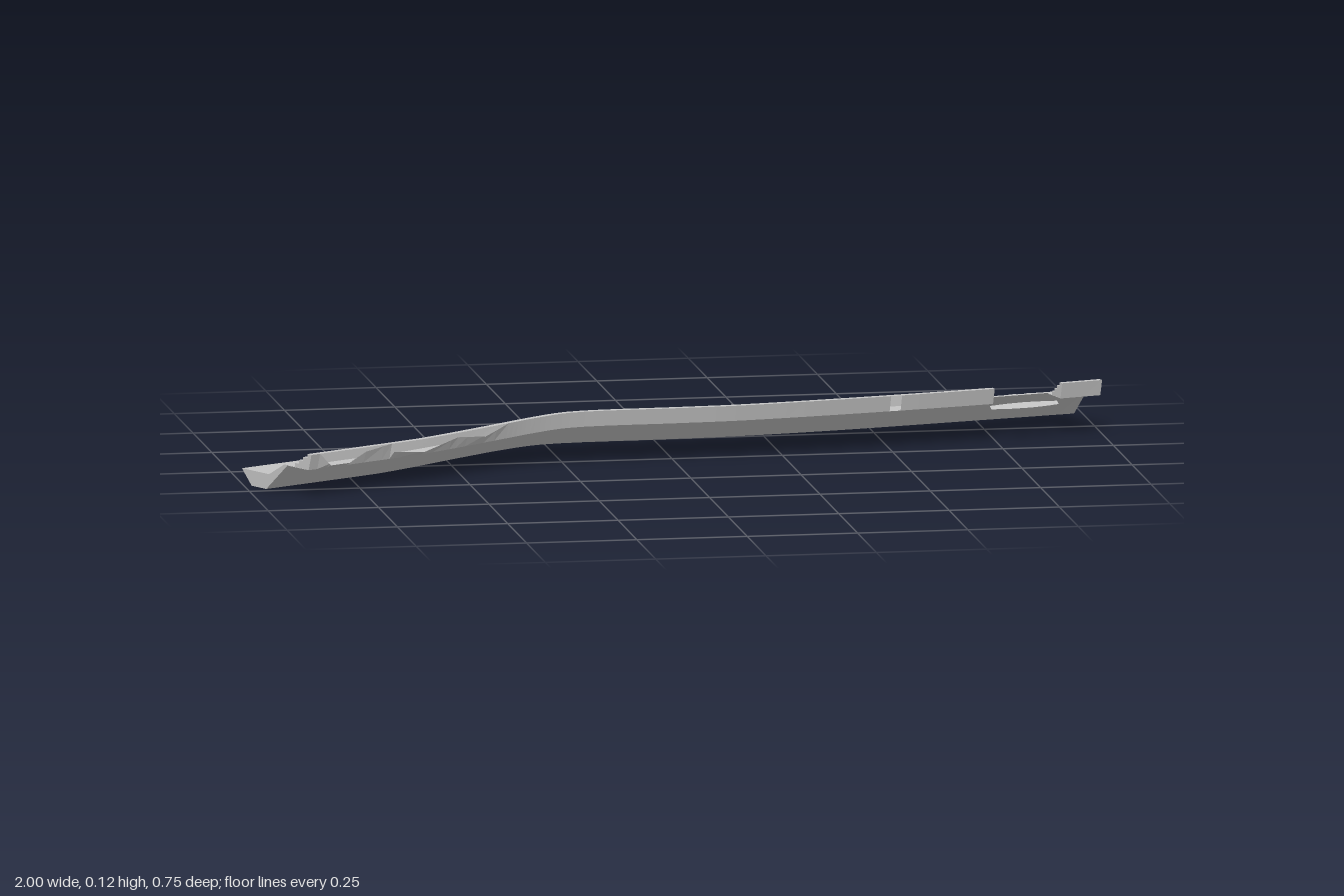
import * as THREE from 'three';

const concrete = new THREE.MeshStandardMaterial({ color: 0xc4c4c4, flatShading: true, side: THREE.DoubleSide });
concrete.name = 'pale concrete';

// Paired stations along the bend: back edge x, z; front edge x, z; ground lift
const stations = [
  [-1, 0.15, -0.88, 0.37, 0], [-0.72, 0, -0.61, 0.22, 0], [-0.5, -0.135, -0.385, 0.09, 0.008],
  [-0.4, -0.18, -0.32, 0.068, 0.014], [-0.3, -0.197, -0.24, 0.055, 0.021], [0, -0.213, 0.01, 0.043, 0.022],
  [0.12, -0.22, 0.14, 0.035, 0.022], [0.35, -0.25, 0.39, -0.005, 0.022],
  [0.69, -0.322, 0.745, -0.08, 0.022], [0.94, -0.37, 1, -0.15, 0.022],
];
const LAST = stations.length - 1;
const backEdge = new THREE.CatmullRomCurve3(stations.map(s => new THREE.Vector3(s[0], s[4], s[1])));
const frontEdge = new THREE.CatmullRomCurve3(stations.map(s => new THREE.Vector3(s[2], s[4], s[3])));

// Point at station u, fraction f from back edge to front edge, height h
function at(u, f, h) {
  const p = backEdge.getPoint(u / LAST).lerp(frontEdge.getPoint(u / LAST), f);
  p.y = Math.max(0, p.y) + h;
  return p;
}

// Piecewise linear lookup
function lookup(table, u) {
  for (let i = 1; i < table.length; i++) {
    const [a, va] = table[i - 1], [b, vb] = table[i];
    if (u <= b) return va + (vb - va) * Math.max(0, (u - a) / (b - a));
  }
  return table[table.length - 1][1];
}

// Broken outline of the far bank and of the front parapet
const raggedBack = [[0, 0], [8, 0], [8.08, 0.06], [8.6, -0.06], [8.68, 0.06], [8.72, -0.08], [9, 0]];
const parapetTop = [[0, 0.1], [0.08, 0.1], [0.18, 0.07], [0.35, 0.07], [0.5, 0.09], [0.74, 0.1],
  [0.76, 0.08], [1.05, 0.07], [1.4, 0.09], [1.7, 0.08], [2, 0.1], [9, 0.1]];
const breaks = [...raggedBack, ...parapetTop].map(r => r[0]);

// Sweep a cross-section from station u0 to u1; profile(u) returns [fraction, height] points
function sweep(name, u0, u1, profile) {
  const us = new Set([u0, u1]);
  for (let i = 0; i <= LAST * 6; i++) us.add(i / 6);
  breaks.forEach(b => us.add(b));
  const list = [...us].filter(u => u >= u0 && u <= u1).sort((a, b) => a - b);
  const rows = list.map(u => profile(u).map(([f, h]) => at(u, f, h)));
  const pts = [];
  for (let i = 0; i + 1 < rows.length; i++) {
    for (let j = 0; j + 1 < rows[i].length; j++) {
      const a = rows[i][j], b = rows[i][j + 1], c = rows[i + 1][j], d = rows[i + 1][j + 1];
      pts.push(a, b, c, c, b, d);
    }
  }
  return toMesh(name, pts);
}

// Flat end face across the section at station u
function cap(name, u, profile) {
  const outline = profile.map(([f, h]) => new THREE.Vector2(f, h));
  const pts = [];
  for (const tri of THREE.ShapeUtils.triangulateShape(outline, [])) {
    for (const i of tri) pts.push(at(u, ...profile[i]));
  }
  return toMesh(name, pts);
}

function toMesh(name, pts) {
  const g = new THREE.BufferGeometry().setFromPoints(pts);
  g.computeVertexNormals();
  const mesh = new THREE.Mesh(g, concrete);
  mesh.name = name;
  return mesh;
}

// Lower deck, ramp up to the terrace and the tapered underside
const body = u => [[lookup(raggedBack, u), 0.035], [0.39, 0.035], [0.61, 0.065], [0.66, 0.065], [0.35, 0], [0.14, 0]];

// Four steps climbing to the front
const steps = [[0.61, 0.065]];
for (let i = 0; i < 4; i++) {
  const f = 0.76 + i * 0.06, h = 0.065 + i * 0.00875;
  steps.push([f, h], [f, h + 0.00875]);
}
steps.push([1, 0.1]);

export function createModel() {
  const group = new THREE.Group();
  group.name = 'curvedEmbankment';

  group.add(sweep('embankmentBody', 0, LAST, u => [...body(u), body(u)[0]]));
  for (const u of [0, LAST]) group.add(cap('bodyEnd', u, body(u)));

  // Terrace in two runs, either side of the collapsed bay
  for (const [u0, u1] of [[0, 8], [8.62, LAST]]) {
    group.add(sweep('terraceSteps', u0, u1, () => steps));
    group.add(sweep('terraceSoffit', u0, u1, () => [[0.96, 0.064], [0.64, 0.064]]));
    for (const u of [u0, u1]) group.add(cap('terraceEnd', u, [...steps, [0.96, 0.064]]));
  }

  // Front parapet with a narrow slit
  for (const [u0, u1] of [[0, 7.32], [7.39, 8], [8.62, LAST]]) {
    group.add(sweep('frontParapet', u0, u1, u => [[1, lookup(parapetTop, u)], [0.96, 0.064]]));
  }

  // Loose strip left hanging in the collapsed bay
  group.add(sweep('brokenStrip', 8, 8.62, u => {
    const w = 0.06 * Math.sin(Math.PI * (u - 8) / 0.62) + 0.02;
    return [[0.9 - w, 0.056], [0.9 + w, 0.05]];
  }));
  return group;
}
